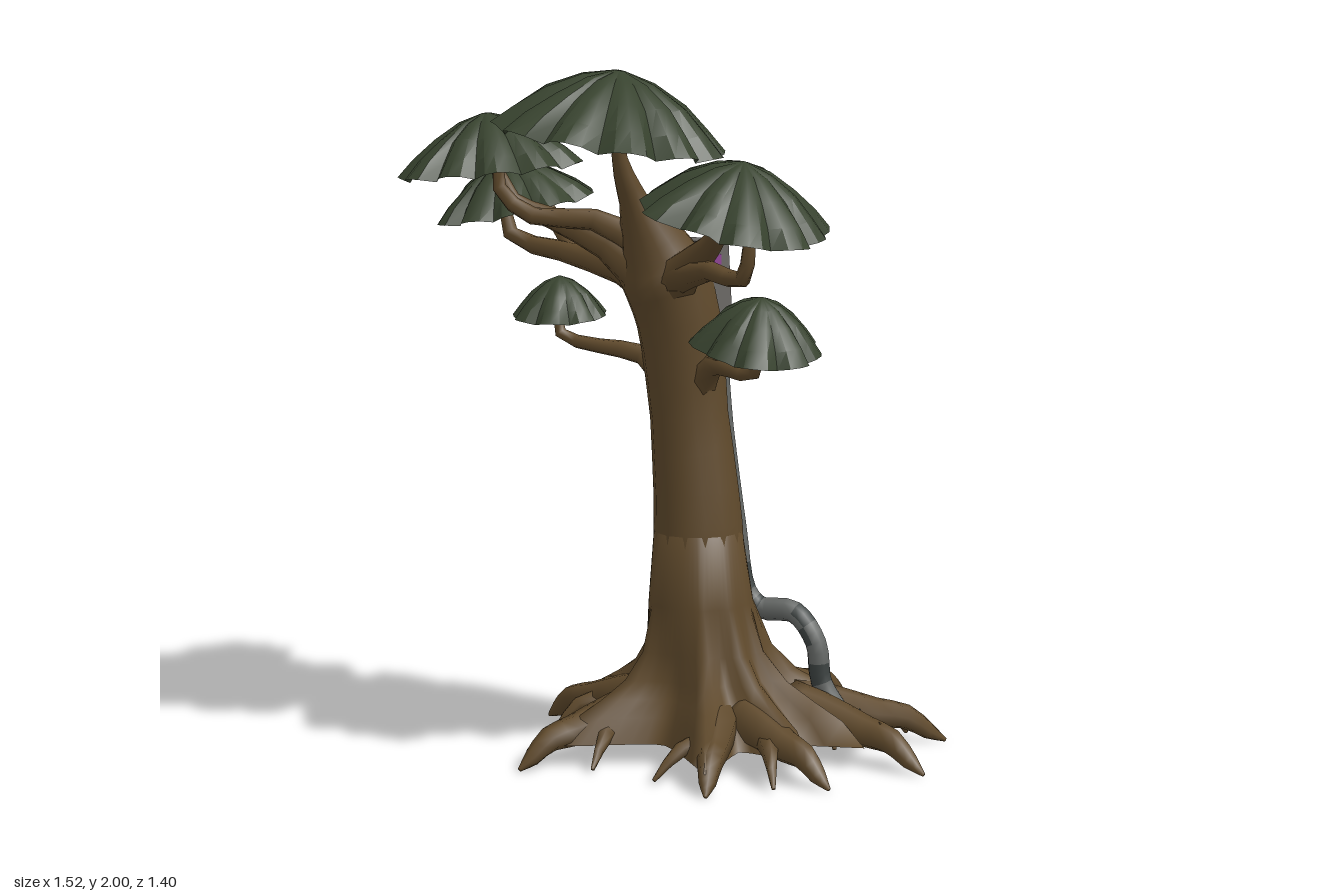
import * as THREE from 'three';
import { toCreasedNormals } from 'three/addons/utils/BufferGeometryUtils.js';

const mat = (name, color, extra = {}) => Object.assign(new THREE.MeshStandardMaterial({ color, ...extra }), { name });
const V = (x, y, z) => new THREE.Vector3(x, y, z);
const hash = (n) => { const s = Math.sin(n * 12.9898 + 4.1) * 43758.5453; return s - Math.floor(s); };

// Skin a list of equal-length rings (counter-clockwise seen from the last ring)
function loft(rings, capStart = true, pickMaterial = null) {
  const n = rings[0].length, pos = [], index = [];
  const geo = new THREE.BufferGeometry();
  rings.flat().forEach((p) => pos.push(p.x, p.y, p.z));
  for (let i = 0; i < rings.length - 1; i++) {
    for (let j = 0; j < n; j++) {
      const a = i * n + j, b = i * n + (j + 1) % n;
      if (pickMaterial) geo.addGroup(index.length, 6, pickMaterial(i, j));
      index.push(a, b, b + n, a, b + n, a + n);
    }
  }
  const cap = (start, flip) => {
    const c = V(0, 0, 0), k = pos.length / 3;
    rings[start / n].forEach((p) => c.addScaledVector(p, 1 / n));
    pos.push(c.x, c.y, c.z);
    if (pickMaterial) geo.addGroup(index.length, n * 3, 0);
    for (let j = 0; j < n; j++) {
      const a = start + j, b = start + (j + 1) % n;
      flip ? index.push(k, b, a) : index.push(k, a, b);
    }
  };
  if (capStart) cap(0, true);
  cap((rings.length - 1) * n, false);
  geo.setAttribute('position', new THREE.Float32BufferAttribute(pos, 3));
  geo.setIndex(index);
  geo.computeVertexNormals();
  return geo;
}

// Tapered limb through points [x, y, z, radius]
function limb(points, sides = 7, steps = 3, pickMaterial = null) {
  const curve = new THREE.CatmullRomCurve3(points.map((p) => V(p[0], p[1], p[2])), false, 'centripetal');
  const count = (points.length - 1) * steps, rings = [];
  const normal = V(0.31, 0.2, 0.93);
  for (let i = 0; i <= count; i++) {
    const t = i / count, k = Math.min(Math.floor(i / steps), points.length - 2);
    const r = THREE.MathUtils.lerp(points[k][3], points[k + 1][3], i / steps - k);
    const c = curve.getPoint(t), tangent = curve.getTangent(t);
    normal.addScaledVector(tangent, -normal.dot(tangent)).normalize();
    const side = tangent.clone().cross(normal);
    rings.push(Array.from({ length: sides }, (_, j) => {
      const a = j / sides * Math.PI * 2;
      return c.clone().addScaledVector(normal, r * Math.cos(a)).addScaledVector(side, r * Math.sin(a));
    }));
  }
  return loft(rings, true, pickMaterial);
}

// Fluted umbrella of leaves with uneven lobes and a ragged rim
function canopyGeometry(R, h, lobes, seed) {
  const n = lobes * 4;
  const rings = [1, 0.82, 0.58, 0.3, 0.04].map((s) => Array.from({ length: n }, (_, j) => {
    const lobe = Math.floor(j / 4), ridge = [0, 0.75, 1, 0.8][j % 4];
    const ragged = 0.92 + 0.14 * hash(lobe + seed * 17);
    const r = R * s * (1 - 0.13 * s * (1 - ridge)) * (s > 0.7 ? ragged : 1);
    const a = (j + 0.9 * hash(lobe + seed)) / n * Math.PI * 2;
    const y = h * (1 - Math.pow(s, 1.7)) - 0.06 * R * s * (1 - ridge);
    return V(r * Math.cos(a), y, -r * Math.sin(a));
  }));
  return toCreasedNormals(loft(rings, false), 0.5);
}

export function createModel() {
  const bark = mat('bark', 0x604a2c, { side: THREE.DoubleSide });
  const leaves = mat('leaves', 0x38432f, { side: THREE.DoubleSide });
  const pipeGrey = mat('pipe grey', 0x656866);
  const pipeDark = mat('pipe dark patches', 0x3c4241);
  const casing = mat('casing grey', 0x6a6865);
  const screenPurple = mat('screen purple', 0x8c4492);
  const model = new THREE.Group();
  const add = (name, geo, material, parent = model) => {
    const mesh = new THREE.Mesh(geo, material);
    mesh.name = name;
    parent.add(mesh);
    return mesh;
  };

  // Trunk, leaning forward toward the crown
  add('trunk', limb([[0.069, 0.55, 0.058, 0.135], [0.07, 0.68, 0.06, 0.13],
    [0.045, 1.0, 0.07, 0.114], [0.028, 1.28, 0.1, 0.122], [0.005, 1.42, 0.14, 0.13], [-0.005, 1.52, 0.19, 0.09],
    [-0.012, 1.63, 0.26, 0.042], [-0.015, 1.75, 0.32, 0.022], [0, 1.94, 0.36, 0.013]], 14), bark);

  // Main roots: tip x, tip z, sideways bend
  const tips = [[0.11, -0.69, 0], [0.62, -0.44, 0.02], [0.76, -0.08, -0.09], [0.62, 0.2, 0.05],
    [0.38, 0.46, -0.04], [-0.21, 0.55, 0.05], [-0.52, 0.02, -0.05], [-0.39, -0.43, 0.03]];
  const cx = 0.07, cz = 0;
  const roots = new THREE.Group();
  roots.name = 'roots';
  model.add(roots);
  const along = ([tx, tz, bend], f, y, r) => {
    const w = bend * Math.sin(f * Math.PI);
    return [cx + (tx - cx) * f - (tz - cz) * w, y, cz + (tz - cz) * f + (tx - cx) * w, r];
  };
  tips.forEach((tip) => add('root', limb([
    along(tip, 0.34, 0.135, 0.08), along(tip, 0.48, 0.122, 0.066), along(tip, 0.7, 0.092, 0.047),
    along(tip, 0.83, 0.078, 0.038), along(tip, 0.93, 0.032, 0.025), along(tip, 1, 0.004, 0.006)], 7, 2), bark, roots));

  // Rootlets dropping to the ground: root, start fraction, tip x, tip z
  [[0, 0.5, 0.31, -0.47], [0, 0.6, 0.17, -0.55], [1, 0.7, 0.49, -0.43], [1, 0.5, 0.42, -0.14], [2, 0.75, 0.63, -0.15],
    [3, 0.55, 0.5, 0.3], [4, 0.5, 0.18, 0.43], [5, 0.45, -0.03, 0.44], [5, 0.55, -0.3, 0.4], [6, 0.6, -0.38, 0.17],
    [7, 0.5, -0.18, -0.48], [7, 0.35, -0.13, -0.35],
  ].forEach(([i, f, x, z]) => {
    const a = along(tips[i], f, 0.095, 0.038);
    add('rootlet', limb([a, [a[0] * 0.45 + x * 0.55, 0.085, a[2] * 0.45 + z * 0.55, 0.024], [x, 0.01, z, 0.006]], 6, 2), bark, roots);
  });

  // Webbed flare, open below, joining roots and trunk: [y, radius, ridge length, centre z]
  const angles = tips.map(([x, z]) => Math.atan2(-(z - cz), x - cx));
  const flare = [[0.06, 0.235, 0.3, 0], [0.13, 0.21, 0.25, 0], [0.18, 0.19, 0.17, 0.005],
    [0.23, 0.175, 0.1, 0.015], [0.31, 0.163, 0.04, 0.03], [0.45, 0.15, 0.006, 0.05], [0.66, 0.129, 0, 0.06]];
  add('rootFlare', loft(flare.map(([y, r, ridge, z]) => Array.from({ length: 64 }, (_, j) => {
    const a = j / 64 * Math.PI * 2;
    const peak = Math.max(...angles.map((b) => {
      const d = Math.atan2(Math.sin(a - b), Math.cos(a - b));
      return Math.exp(-Math.abs(d) / 0.21);
    }));
    const q = r + ridge * peak;
    return V(cx + q * Math.cos(a), y, z - q * Math.sin(a));
  })), false), bark);

  // Branches
  const branches = {
    upperRightBranch: [[0, 1.38, 0.15, 0.09], [-0.13, 1.5, 0.23, 0.052], [-0.28, 1.57, 0.3, 0.032], [-0.38, 1.62, 0.35, 0.025], [-0.45, 1.8, 0.38, 0.014]],
    upperRightFork: [[-0.02, 1.49, 0.19, 0.05], [-0.14, 1.57, 0.28, 0.032], [-0.28, 1.58, 0.38, 0.026], [-0.37, 1.66, 0.42, 0.021], [-0.36, 1.79, 0.42, 0.013]],
    outerRightBranch: [[0, 1.36, 0.13, 0.08], [-0.15, 1.42, 0.14, 0.048], [-0.36, 1.46, 0.15, 0.032], [-0.55, 1.5, 0.15, 0.024], [-0.58, 1.66, 0.14, 0.013]],
    outerRightFork: [[-0.3, 1.45, 0.15, 0.03], [-0.42, 1.54, 0.1, 0.022], [-0.48, 1.66, 0.12, 0.012]],
    leftBranch: [[0, 1.35, 0.14, 0.09], [0.13, 1.44, 0.2, 0.055], [0.27, 1.52, 0.28, 0.034], [0.34, 1.58, 0.33, 0.025], [0.37, 1.7, 0.35, 0.013]],
    leftFork: [[0.06, 1.4, 0.18, 0.05], [0.28, 1.45, 0.3, 0.028], [0.43, 1.44, 0.36, 0.023], [0.46, 1.54, 0.37, 0.018], [0.46, 1.67, 0.37, 0.012]],
    lowRightBranch: [[0, 1.1, 0.09, 0.06], [-0.09, 1.17, 0.12, 0.03], [-0.22, 1.19, 0.16, 0.022], [-0.34, 1.22, 0.18, 0.018], [-0.345, 1.33, 0.18, 0.01]],
    lowLeftBranch: [[0.07, 1.05, 0.09, 0.06], [0.17, 1.16, 0.13, 0.034], [0.26, 1.16, 0.17, 0.024], [0.36, 1.16, 0.2, 0.02], [0.4, 1.29, 0.2, 0.01]],
    lowLeftFork: [[0.17, 1.16, 0.13, 0.03], [0.27, 1.22, 0.17, 0.02], [0.35, 1.32, 0.2, 0.01]],
  };
  for (const [name, points] of Object.entries(branches)) add(name, limb(points, 7, 2), bark);

  // Canopies: name, centre, radius, height, lobes, tilt x, tilt z
  [['crownCanopy', [-0.03, 1.812, 0.345], 0.352, 0.187, 12, -0.05, -0.15],
    ['upperRightCanopy', [-0.43, 1.71, 0.38], 0.265, 0.16, 11, 0.05, 0.08],
    ['outerRightCanopy', [-0.54, 1.58, 0.14], 0.235, 0.145, 10, 0.14, 0.14],
    ['leftCanopy', [0.4, 1.61, 0.36], 0.272, 0.155, 11, 0.04, -0.25],
    ['lowRightCanopy', [-0.34, 1.275, 0.18], 0.145, 0.115, 8, 0.08, -0.04],
    ['lowLeftCanopy', [0.37, 1.24, 0.2], 0.19, 0.14, 9, 0.13, -0.2],
  ].forEach(([name, p, R, h, lobes, rx, rz], i) => {
    const canopy = add(name, canopyGeometry(R, h, lobes, i + 1), leaves);
    canopy.position.set(...p);
    canopy.rotation.set(rx, 0, rz);
  });

  // Patchy pipe running down the back and over a root
  const pipe = [[0.04, 1.3, -0.01, 0.032], [0.05, 1.22, -0.045, 0.034], [0.075, 0.95, -0.06, 0.031], [0.105, 0.65, -0.085, 0.031],
    [0.13, 0.46, -0.1, 0.032], [0.17, 0.41, -0.115, 0.034], [0.28, 0.405, -0.135, 0.034], [0.345, 0.32, -0.15, 0.033], [0.36, 0.2, -0.16, 0.033], [0.42, 0.09, -0.185, 0.036]];
  add('pipe', limb(pipe, 8, 4, (i, j) => (hash(Math.floor(i / 2) * 5 + Math.floor(j / 2)) > 0.6 ? 1 : 0)), [pipeGrey, pipeDark]);
  const foot = add('pipeFoot', new THREE.CylinderGeometry(0.05, 0.06, 0.085, 8), pipeDark);
  foot.position.set(0.43, 0.07, -0.19);
  foot.rotation.z = 0.25;

  // Box on the trunk, with a cut lower back edge
  const box = new THREE.Group();
  box.name = 'controlBox';
  box.position.set(0.035, 1.385, 0.02);
  model.add(box);
  const shell = new THREE.BoxGeometry(0.17, 0.24, 0.12);
  const sp = shell.attributes.position;
  for (let i = 0; i < sp.count; i++) {
    if (sp.getZ(i) < 0 && sp.getY(i) > 0) sp.setZ(i, -0.04);
    if (sp.getZ(i) < 0 && sp.getY(i) < 0) sp.setY(i, -0.1);
  }
  shell.computeVertexNormals();
  add('boxCasing', shell, casing, box);
  const plate = (name, w, h, x, y, z, material) => {
    const m = add(name, new THREE.BoxGeometry(w, h, 0.006), material, box);
    m.position.set(x, y, z);
    m.rotation.x = -0.09;
    return m;
  };
  plate('screen', 0.13, 0.125, 0, 0.025, -0.049, screenPurple);
  plate('screenStrip', 0.08, 0.016, 0.015, 0.01, -0.052, pipeDark);
  const mark = add('sidePanel', new THREE.BoxGeometry(0.004, 0.03, 0.035), screenPurple, box);
  mark.position.set(0.085, 0.065, 0.015);
  return model;
}
